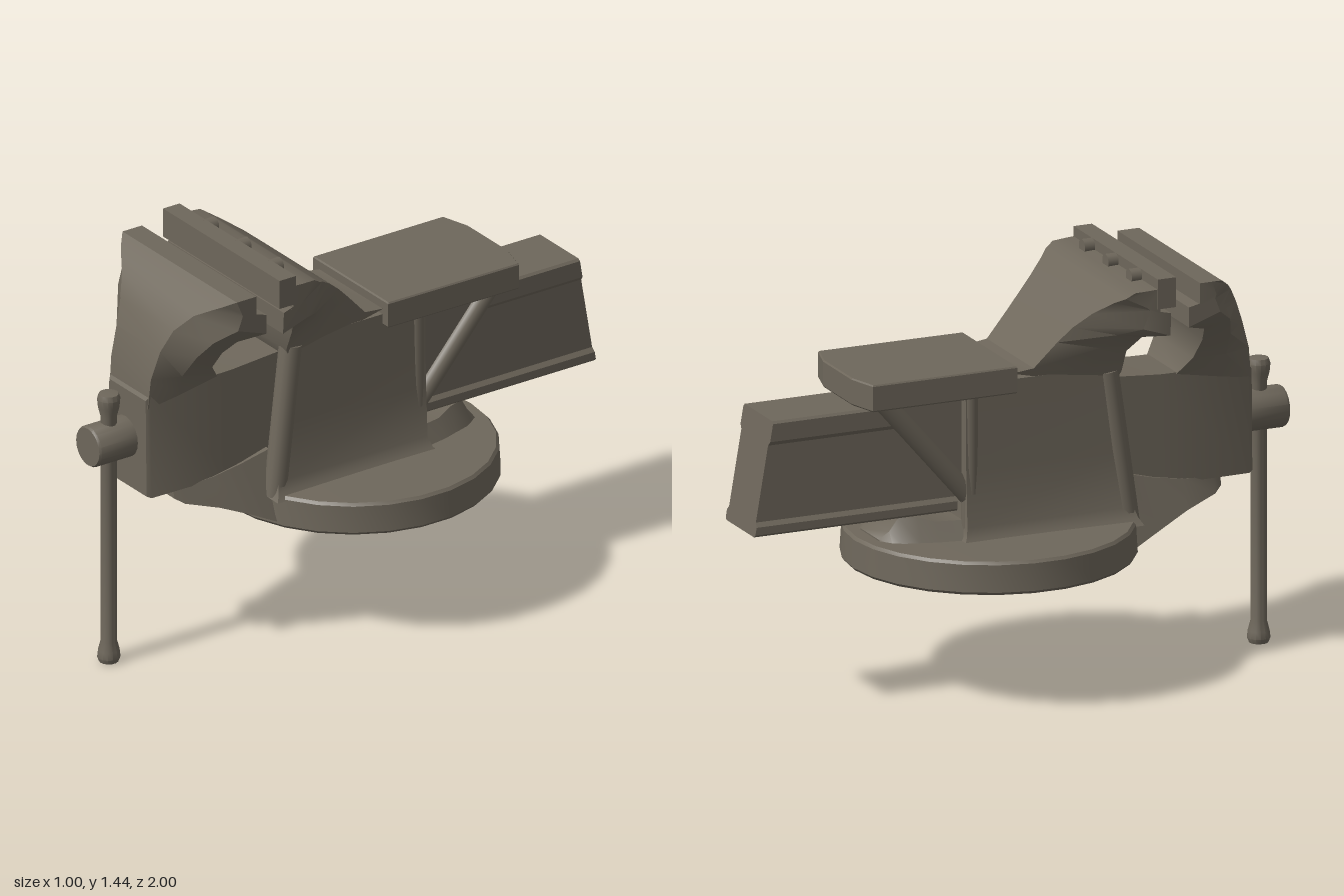
import * as THREE from 'three';
import { toCreasedNormals } from 'three/addons/utils/BufferGeometryUtils.js';

const iron = new THREE.MeshStandardMaterial({ color: 0x6e675b });
iron.name = 'cast iron';

// Skin a row of equal-length convex rings of [x, y, z] points, with end caps
function loft(rings, crease = 0.5) {
  const n = rings[0].length, tris = [];
  for (let i = 0; i < rings.length - 1; i++) {
    for (let j = 0; j < n; j++) {
      const k = (j + 1) % n, a = rings[i], b = rings[i + 1];
      tris.push([a[j], a[k], b[k]], [a[j], b[k], b[j]]);
    }
  }
  const first = rings[0], last = rings[rings.length - 1];
  for (let j = 1; j < n - 1; j++) {
    tris.push([first[0], first[j + 1], first[j]], [last[0], last[j], last[j + 1]]);
  }
  // turn the skin outwards if its volume is negative
  const vol = tris.reduce((s, [a, b, c]) => s
    + a[0] * (b[1] * c[2] - b[2] * c[1])
    + a[1] * (b[2] * c[0] - b[0] * c[2])
    + a[2] * (b[0] * c[1] - b[1] * c[0]), 0);
  const pos = tris.flatMap(([a, b, c]) => (vol < 0 ? [a, c, b] : [a, b, c])).flat();
  const g = new THREE.BufferGeometry();
  g.setAttribute('position', new THREE.Float32BufferAttribute(pos, 3));
  return toCreasedNormals(g, crease);
}

// Jaw arm: each station is [outerZ, outerY, outerHalfWidth, innerZ, innerY, innerHalfWidth]
function jawGeometry(stations, t) {
  return loft(stations.map(([oz, oy, ow, iz, iy, iw]) => {
    const mz = iz + (oz - iz) * t, my = iy + (oy - iy) * t;
    return [[-ow, oy, oz], [ow, oy, oz], [iw, my, mz], [iw, iy, iz], [-iw, iy, iz], [-iw, my, mz]];
  }), 0.6);
}

// Extrude a [z, y] side profile across x, centred on x
function sidePlate(points, x, width) {
  const g = new THREE.ExtrudeGeometry(
    new THREE.Shape(points.map(([z, y]) => new THREE.Vector2(-z, y))),
    { depth: width, bevelEnabled: false });
  g.translate(0, 0, -width / 2);
  g.rotateY(Math.PI / 2);
  g.translate(x, 0, 0);
  return g;
}

// Round rod between two points
function rod(a, b, r, sides = 14) {
  const p = new THREE.Vector3(...a), q = new THREE.Vector3(...b);
  const g = new THREE.CylinderGeometry(r, r, p.distanceTo(q), sides);
  const dir = q.clone().sub(p).normalize();
  g.applyQuaternion(new THREE.Quaternion().setFromUnitVectors(new THREE.Vector3(0, 1, 0), dir));
  const mid = p.add(q).multiplyScalar(0.5);
  return g.translate(mid.x, mid.y, mid.z);
}

const lathe = (pts, sides) => toCreasedNormals(
  new THREE.LatheGeometry(pts.map(([r, y]) => new THREE.Vector2(r, y)), sides), 0.6);

const box = (x0, x1, y0, y1, z0, z1) => new THREE.BoxGeometry(x1 - x0, y1 - y0, z1 - z0)
  .translate((x0 + x1) / 2, (y0 + y1) / 2, (z0 + z1) / 2);

export function createModel() {
  const model = new THREE.Group();
  model.name = 'benchVise';
  const add = (name, geometry) => {
    const mesh = new THREE.Mesh(geometry, iron);
    mesh.name = name;
    model.add(mesh);
    return mesh;
  };

  // Round base
  add('base', lathe([[0, 0.44], [0.495, 0.44], [0.503, 0.45], [0.497, 0.545], [0.488, 0.555], [0, 0.56]], 26)
    .translate(0, 0, -0.08));

  // Column, flared where it meets the base: [y, halfWidth, frontZ, backZ]
  add('column', loft([
    [0.54, 0.235, 0.39, -0.28], [0.565, 0.215, 0.375, -0.26], [0.6, 0.2, 0.365, -0.25],
    [0.8, 0.19, 0.335, -0.25], [1.1, 0.185, 0.29, -0.25],
  ].map(([y, w, f, b]) => [[-w, y, f], [w, y, f], [w, y, b], [-w, y, b]])));

  // Front support and rear foot under the slide: [z, topHalf, bottomHalf, topY, bottomY]
  const foot = (rows) => loft(rows.map(([z, a, b, t, u]) => [[-a, t, z], [a, t, z], [b, u, z], [-b, u, z]]), 0.7);
  add('frontSupport', foot([
    [0.73, 0.105, 0.11, 0.638, 0.605], [0.7, 0.115, 0.13, 0.642, 0.585],
    [0.58, 0.125, 0.165, 0.65, 0.55], [0.47, 0.13, 0.195, 0.67, 0.505], [0.36, 0.14, 0.21, 0.7, 0.45],
  ]));
  add('rearFoot', foot([
    [-0.24, 0.16, 0.2, 0.62, 0.55], [-0.34, 0.14, 0.18, 0.62, 0.55], [-0.4, 0.12, 0.16, 0.638, 0.55],
    [-0.46, 0.1, 0.14, 0.638, 0.55], [-0.49, 0.09, 0.12, 0.59, 0.55], [-0.52, 0.07, 0.1, 0.56, 0.55],
  ]));

  // Sliding bar: flanged section with a raked rear end
  const half = [[0.112, 0.64], [0.12, 0.648], [0.12, 0.675], [0.108, 0.69], [0.108, 0.955],
    [0.12, 0.97], [0.12, 1.032], [0.112, 1.04]];
  const section = [...half, ...half.map(([x, y]) => [-x, y]).reverse()];
  const slide = new THREE.ExtrudeGeometry(
    new THREE.Shape(section.map(([x, y]) => new THREE.Vector2(x, y))), { depth: 1.3, bevelEnabled: false });
  slide.translate(0, 0, -1);
  const p = slide.attributes.position;
  for (let i = 0; i < p.count; i++) {
    if (p.getZ(i) < -0.9) p.setZ(i, -1 + (p.getY(i) - 0.64) * 0.17);
  }
  slide.computeVertexNormals();
  add('slideBar', slide);

  // Anvil plate with a slightly pointed rear edge
  const anvil = new THREE.ExtrudeGeometry(new THREE.Shape([
    [-0.222, 0.075], [0.218, 0.075], [0.224, 0.61], [0.115, 0.64], [-0.115, 0.64], [-0.222, 0.61],
  ].map(([x, y]) => new THREE.Vector2(x, y))), { depth: 0.085, bevelEnabled: true, bevelSize: 0.004,
    bevelOffset: -0.004, bevelThickness: 0.005, bevelSegments: 1 });
  anvil.rotateX(-Math.PI / 2);
  add('anvil', anvil.translate(0, 1.065, 0));

  // Mirrored column ribs, gussets and anvil struts
  for (const s of [-1, 1]) {
    add('columnRib', rod([s * 0.17, 0.54, 0.358], [s * 0.158, 1.08, 0.285], 0.04));
    add('gusset', sidePlate([[-0.2, 1.07], [-0.2, 0.72], [-0.26, 0.72], [-0.56, 1.07]], s * 0.135, 0.05));
    add('anvilStrut', rod([s * 0.155, 0.69, -0.215], [s * 0.155, 1.075, -0.545], 0.035));
    add('rearEdge', rod([s * 0.165, 0.56, -0.225], [s * 0.165, 1.07, -0.225], 0.03));
  }

  // Fixed jaw
  add('fixedJaw', jawGeometry([
    [0.31, 1.395, 0.335, 0.40, 1.4, 0.34],
    [0.28, 1.375, 0.325, 0.40, 1.315, 0.34],
    [0.25, 1.357, 0.295, 0.44, 1.31, 0.34],
    [0.19, 1.315, 0.25, 0.44, 1.23, 0.335],
    [0.13, 1.265, 0.22, 0.36, 1.22, 0.28],
    [0.08, 1.215, 0.205, 0.327, 1.16, 0.225],
    [0.0, 1.13, 0.19, 0.325, 1.08, 0.19],
    [-0.08, 1.12, 0.185, 0.3, 1.03, 0.18],
  ], 0.4));
  add('jawPlate', box(-0.342, 0.34, 1.33, 1.435, 0.39, 0.458));
  for (const x of [-0.19, 0, 0.19]) {
    add('jawScrew', rod([x, 1.41, 0.352], [x, 1.41, 0.4], 0.026, 10));
  }

  // Moving jaw and its body
  add('movingJaw', jawGeometry([
    [0.63, 1.4, 0.335, 0.55, 1.4, 0.335],
    [0.66, 1.378, 0.3, 0.55, 1.325, 0.335],
    [0.685, 1.358, 0.265, 0.508, 1.32, 0.335],
    [0.72, 1.325, 0.21, 0.508, 1.25, 0.335],
    [0.765, 1.26, 0.155, 0.59, 1.22, 0.28],
    [0.80, 1.18, 0.128, 0.61, 1.16, 0.22],
    [0.83, 1.08, 0.116, 0.605, 1.08, 0.155],
    [0.84, 0.97, 0.112, 0.56, 1.02, 0.12],
  ], 0.55));
  add('movingBody', loft([
    [0.845, 0.112, 1.0, 0.645], [0.83, 0.12, 1.02, 0.638], [0.5, 0.122, 1.025, 0.636], [0.3, 0.122, 1.04, 0.68],
  ].map(([z, w, t, b]) => [[-w * 0.95, t, z], [w * 0.95, t, z], [w, b, z], [-w, b, z]])));

  // Screw head and handle
  const head = lathe([[0, 0], [0.073, 0], [0.073, 0.152], [0.068, 0.16], [0, 0.16]], 20);
  head.rotateX(Math.PI / 2);
  add('screwHead', head.translate(-0.012, 0.825, 0.84));
  add('handle', lathe([
    [0, 0], [0.033, 0.003], [0.04, 0.02], [0.037, 0.045], [0.028, 0.08], [0.028, 0.92],
    [0.037, 0.955], [0.04, 0.985], [0.034, 1.003], [0, 1.006],
  ], 14).translate(-0.01, 0, 0.915));

  return model;
}
